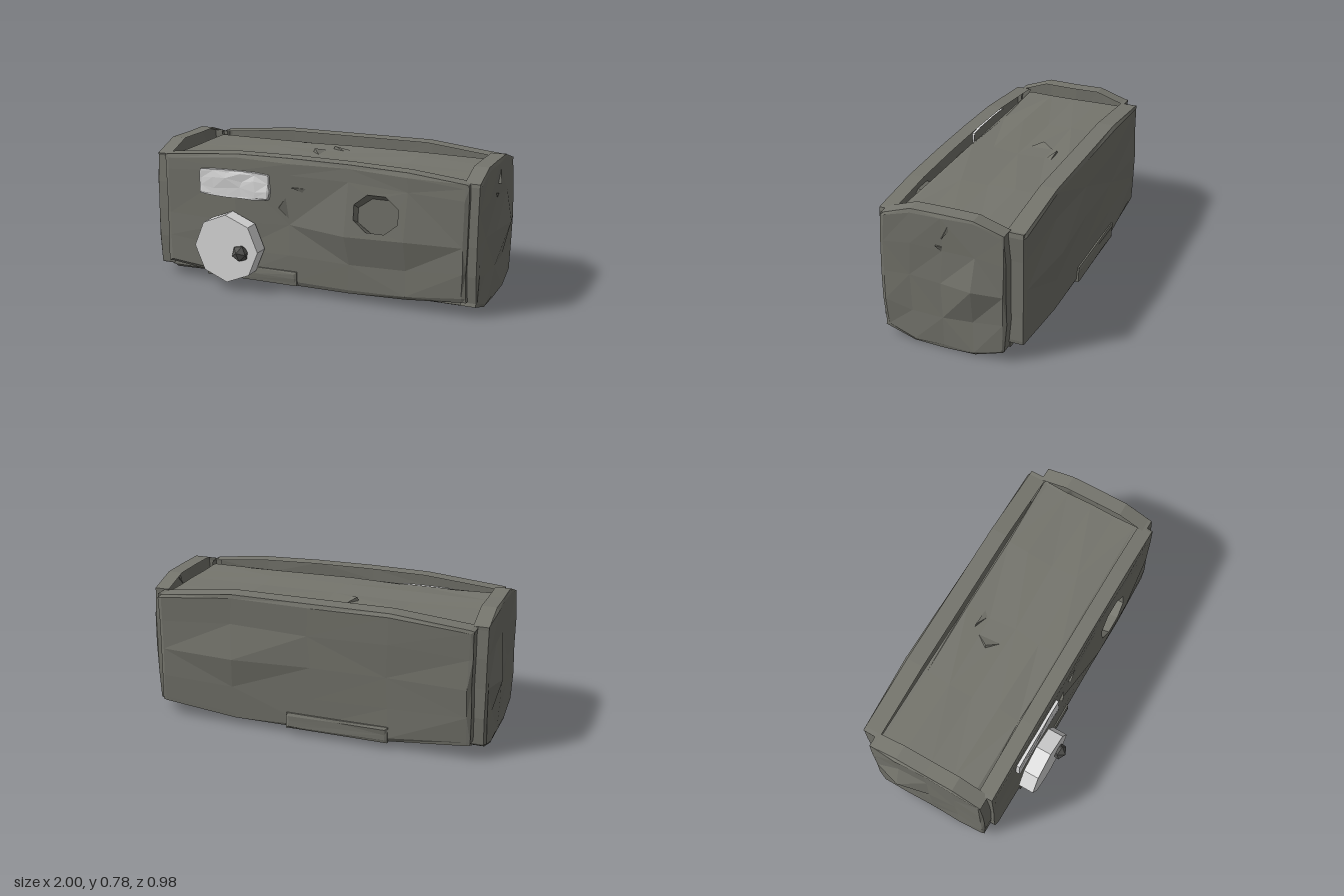
import * as THREE from 'three';
import { ConvexGeometry } from 'three/addons/geometries/ConvexGeometry.js';

const mat = (name, color, side = THREE.FrontSide) => {
  const m = new THREE.MeshStandardMaterial({ color, flatShading: true, side });
  m.name = name;
  return m;
};

// Repeatable roughness in -1..1 for a grid position
const rough = (u, v, seed) => {
  const s = Math.sin(u * 127.1 + v * 311.7 + seed * 74.7) * 43758.5453;
  return (s - Math.floor(s)) * 2 - 1;
};

// Outline bow: flat over the middle half, falling to zero at the ends
const bow = (u) => Math.min(1, 2 * (1 - Math.abs(u)));
const tent = (d) => Math.max(0, 1 - 2 * Math.abs(d));

// Octagonal opening on the front slab (slab coordinates)
const HOLE = { x: 0.395, y: 0.112, rx: 0.135, ry: 0.108 };
const octagon = (dy = 0, k = 1) => Array.from({ length: 8 }, (_, i) => {
  const a = (i + 0.5) * Math.PI / 4;
  return new THREE.Vector2(HOLE.x + k * HOLE.rx * Math.cos(a), HOLE.y + dy + HOLE.ry * Math.sin(a));
});

// Rough-hewn slab facing +z: thin rim, bowed outline, one raised bump centred at u = peak
function slab({ w, h, t, b = 0, peak = 0, ow = 0, oh = 0, us, vs, seed, inset = 0.015, jit = 0.007, hole }) {
  const cu = 1 - 2 * inset / w, cv = 1 - 2 * inset / h;
  const U = [-1, -1, -cu, ...us, cu, 1, 1];
  const V = [-1, -1, -cv, ...vs, cv, 1, 1];
  const n = U.length, m = V.length;
  const point = (i, j) => {
    const u = U[i], v = V[j];
    const depth = Math.min(i, j, n - 1 - i, m - 1 - j);
    const inner = depth > 2 ? jit * 2 : jit * 0.6;
    let z = 0;
    if (depth === 1) z = t * 0.92;
    if (depth > 1) z = t + b * tent(u - peak) * tent(v) + jit * rough(u, v, seed);
    return new THREE.Vector3(
      u * (w / 2 + ow * bow(v)) + inner * rough(v, u, seed + 3),
      v * (h / 2 + oh * bow(u)) + inner * rough(u, v, seed + 7), z);
  };
  const out = [];
  const tri = (p, q, r) => {
    const area = q.clone().sub(p).cross(r.clone().sub(p)).length();
    if (area > 1e-7) for (const c of [p, q, r]) out.push(c.x, c.y, c.z);
  };
  for (let i = 0; i < n - 1; i++) for (let j = 0; j < m - 1; j++) {
    const A = point(i, j), B = point(i + 1, j), C = point(i + 1, j + 1), D = point(i, j + 1);
    if (hole && i === hole[0] && j === hole[1]) {
      // Cell pierced by the octagonal opening, with a sunken floor
      const corners = [A, B, C, D];
      const shape = new THREE.Shape(corners.map(p => new THREE.Vector2(p.x, p.y)));
      const ring = octagon();
      shape.holes.push(new THREE.Path(ring.slice().reverse()));
      const p = new THREE.ShapeGeometry(shape).toNonIndexed().attributes.position;
      const lift = (x, y) => {
        const hit = corners.find(c => Math.hypot(c.x - x, c.y - y) < 1e-5);
        if (hit) return hit.clone();
        const s = (x - A.x) / (B.x - A.x), k = (y - A.y) / (D.y - A.y);
        return new THREE.Vector3(x, y, (A.z * (1 - s) + B.z * s) * (1 - k) + (D.z * (1 - s) + C.z * s) * k);
      };
      for (let k = 0; k < p.count; k += 3)
        tri(...[0, 1, 2].map(e => lift(p.getX(k + e), p.getY(k + e))));
      const back = octagon(-0.045, 1.12).map(q => new THREE.Vector3(q.x, q.y, 0.005));
      const front = ring.map(q => lift(q.x, q.y));
      const mid = new THREE.Vector3(HOLE.x, HOLE.y - 0.045, 0.005);
      for (let k = 0; k < 8; k++) {
        const l = (k + 1) % 8;
        tri(front[k], front[l], back[l]);
        tri(front[k], back[l], back[k]);
        tri(mid, back[k], back[l]);
      }
    } else if ((i + j + seed) % 3) {
      tri(A, B, C); tri(A, C, D);
    } else {
      tri(A, B, D); tri(B, C, D);
    }
  }
  const g = new THREE.BufferGeometry();
  g.setAttribute('position', new THREE.Float32BufferAttribute(out, 3));
  g.computeVertexNormals();
  return g;
}

// Small raised stone flake over a triangle of [x, y] points, tallest at the first
const chip = (pts, z, rise) => new ConvexGeometry([
  ...pts.map(([x, y]) => new THREE.Vector3(x, y, z)),
  new THREE.Vector3(pts[0][0] + 0.008, pts[0][1], z + rise),
]);

export function createModel() {
  const stone = mat('stone', 0x75756d, THREE.DoubleSide);
  const metal = mat('pale metal', 0xe0e0e0);
  const dark = mat('dark knob', 0x555553);
  const model = new THREE.Group();
  model.name = 'stoneChest';
  const add = (name, geo, material, pos = [0, 0, 0], rot = [0, 0, 0]) => {
    const mesh = new THREE.Mesh(geo, material);
    mesh.name = name;
    mesh.position.set(...pos);
    mesh.rotation.set(...rot);
    model.add(mesh);
  };
  const H = Math.PI / 2;

  // Inner block that closes the grooves between slabs
  add('core', new THREE.BoxGeometry(1.72, 0.54, 0.58), stone, [0, 0.39, -0.05]);

  // Six outer slabs
  const grid = [-0.5, 0, 0.5];
  add('frontSlab', slab({
    w: 1.78, h: 0.63, t: 0.09, b: 0.06, peak: 0.45, oh: 0.045, seed: 2, inset: 0.02, jit: 0.006,
    us: [-0.5, -0.12, 0.26, 0.63], vs: [-0.5, -0.06, 0.74], hole: [5, 4],
  }), stone, [0.01, 0.405, 0.25]);
  add('backSlab', slab({
    w: 1.78, h: 0.63, t: 0.104, b: 0.033, peak: -0.5, oh: 0.045, us: grid, vs: grid, seed: 4, inset: 0.02,
  }), stone, [0, 0.405, -0.35], [0, Math.PI, 0]);
  add('topSlab', slab({ w: 1.76, h: 0.6, t: 0.06, us: grid, vs: grid, seed: 5 }),
    stone, [0, 0.645, -0.05], [-H, 0, 0]);
  add('bottomSlab', slab({ w: 1.76, h: 0.66, t: 0.115, b: 0.04, peak: 0.5, us: grid, vs: grid, seed: 6 }),
    stone, [0, 0.16, -0.04], [H, 0, 0]);
  for (const s of [1, -1])
    add(s > 0 ? 'leftEndSlab' : 'rightEndSlab', slab({
      w: 0.67, h: 0.66, t: 0.09, b: 0.04, peak: 0.5 * s, ow: 0.012, oh: 0.055, us: grid, vs: grid, seed: 8 + s,
    }), stone, [s * 0.865, 0.39, -0.035], [0, s * H, 0]);

  // Ledges along the lower edges
  add('frontLedge', slab({ w: 0.56, h: 0.08, t: 0.055, us: [0], vs: [0], seed: 11, jit: 0.003 }),
    stone, [-0.34, 0.09, 0.3]);
  add('backLedge', slab({ w: 0.58, h: 0.09, t: 0.07, us: [0], vs: [0], seed: 12, jit: 0.003 }),
    stone, [-0.16, 0.085, -0.4], [0, Math.PI, 0]);

  // Flaked spots
  const big = [[-0.17, 0.49], [-0.12, 0.56], [-0.11, 0.43]];
  const thin = [[-0.09, 0.61], [0.02, 0.61], [-0.01, 0.58]];
  const shift = (pts, dy) => pts.map(([x, y]) => [x, y + dy]);
  add('frontChip', chip(big, 0.336, 0.022), stone);
  add('frontChip', chip(thin, 0.336, 0.02), stone);
  add('topChip', chip(shift(big, -0.36), 0.702, 0.02), stone, [0, 0, 0], [-H, 0, 0]);
  add('topChip', chip(shift(thin, -0.37), 0.702, 0.018), stone, [0, 0, 0], [-H, 0, 0]);
  add('endChip', chip([[0.035, 0.65], [0.09, 0.71], [0.09, 0.76]], 0.951, 0.02), stone, [0, 0, 0], [0, H, 0]);
  add('endChip', chip([[0, 0.605], [0.045, 0.6], [0.035, 0.57]], 0.951, 0.018), stone, [0, 0, 0], [0, H, 0]);

  // Hammered plate
  add('facePlate', slab({
    w: 0.42, h: 0.14, t: 0.033, ow: 0.006, oh: 0.008,
    us: [-0.6, -0.2, 0.2, 0.6], vs: [-0.3, 0.3], seed: 14, jit: 0.005, inset: 0.01,
  }), metal, [-0.435, 0.595, 0.33]);

  // Octagonal door with its knob
  add('door', new THREE.CylinderGeometry(0.195, 0.195, 0.09, 8), metal, [-0.448, 0.245, 0.398], [H, 0, 0]);
  add('doorKnob', new THREE.IcosahedronGeometry(0.05, 0), dark, [-0.355, 0.232, 0.446], [0.3, 0, 0.2]);
  return model;
}
